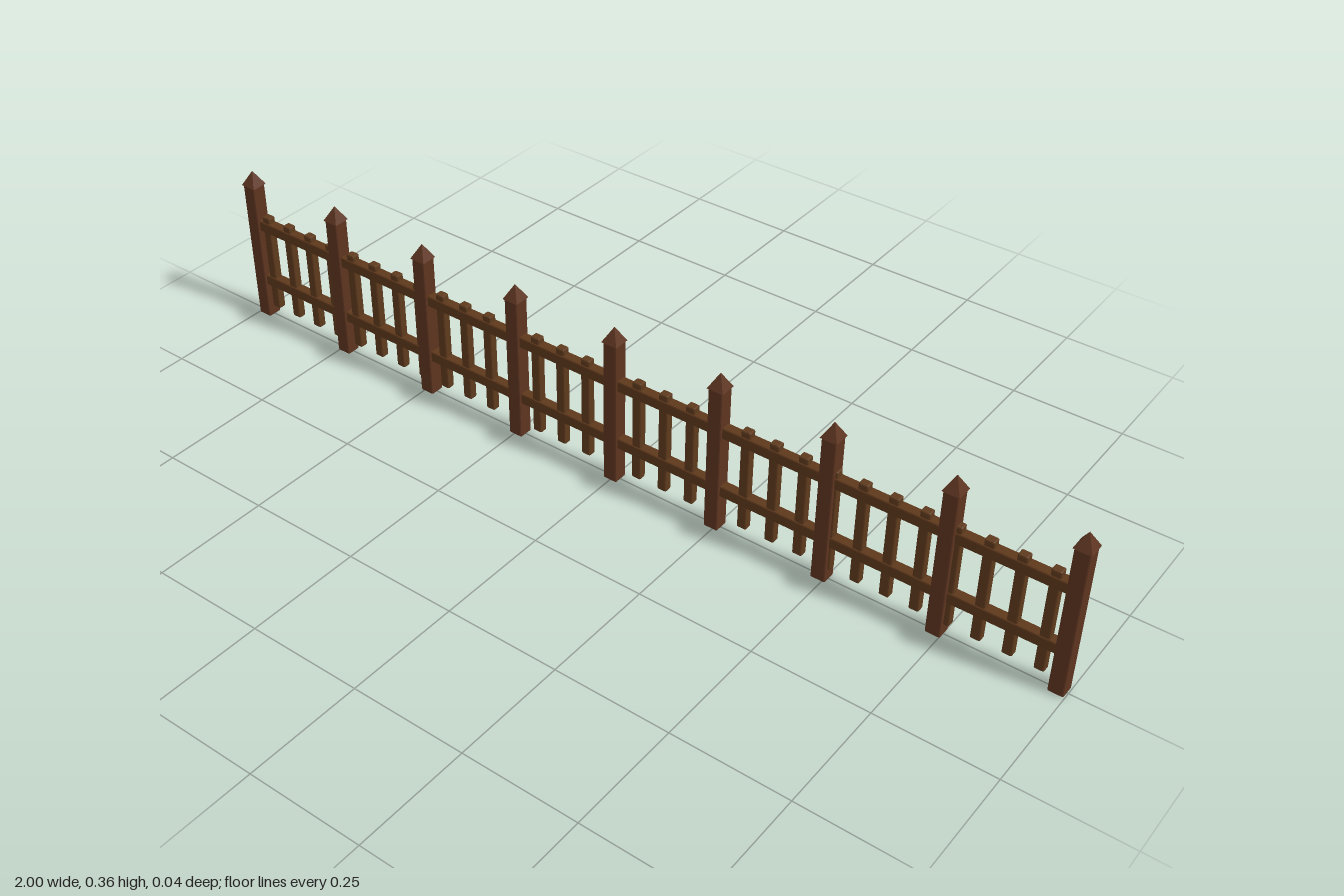
import * as THREE from 'three';
import { RoundedBoxGeometry } from 'three/addons/geometries/RoundedBoxGeometry.js';

function flatMaterial(name, color) {
  const material = new THREE.MeshStandardMaterial({ color, flatShading: true });
  material.name = name;
  return material;
}

export function createModel() {
  const fence = new THREE.Group();
  fence.name = 'fence';
  const postWood = flatMaterial('post wood', 0x5e3520);
  const railWood = flatMaterial('rail wood', 0x5e381b);
  const picketWood = flatMaterial('picket wood', 0x5e3a1d);

  const add = (parent, name, geometry, material, x, y) => {
    const mesh = new THREE.Mesh(geometry, material);
    mesh.name = name;
    mesh.position.set(x, y, 0);
    parent.add(mesh);
  };
  // Timber with slightly chamfered edges
  const timber = (w, h, d, chamfer) => new RoundedBoxGeometry(w, h, d, 1, chamfer);

  // Nine square posts with overhanging pyramid caps
  const postCount = 9, postHeight = 0.33, capHeight = 0.033, capHalf = 0.018;
  const postGeometry = timber(0.032, postHeight, 0.032, 0.003);
  const capGeometry = new THREE.ConeGeometry(capHalf * Math.SQRT2, capHeight, 4).rotateY(Math.PI / 4);
  const reach = 1 - capHalf;
  for (let i = 0; i < postCount; i++) {
    const post = new THREE.Group();
    post.name = 'post';
    post.position.x = -reach + (2 * reach * i) / (postCount - 1);
    add(post, 'postBody', postGeometry, postWood, 0, postHeight / 2);
    add(post, 'postCap', capGeometry, postWood, 0, 0.329 + capHeight / 2);
    fence.add(post);
  }

  // Two long rails
  const railGeometry = timber(2 * reach, 0.025, 0.022, 0.003);
  add(fence, 'lowerRail', railGeometry, railWood, 0, 0.096);
  add(fence, 'upperRail', railGeometry, railWood, 0, 0.235);

  // Evenly spaced pickets, set a little out of step with the posts
  const picketGeometry = timber(0.021, 0.232, 0.018, 0.003);
  for (let i = 0; i <= 30; i++) {
    add(fence, 'picket', picketGeometry, picketWood, -0.948 + i * 0.063, 0.145);
  }
  return fence;
}
